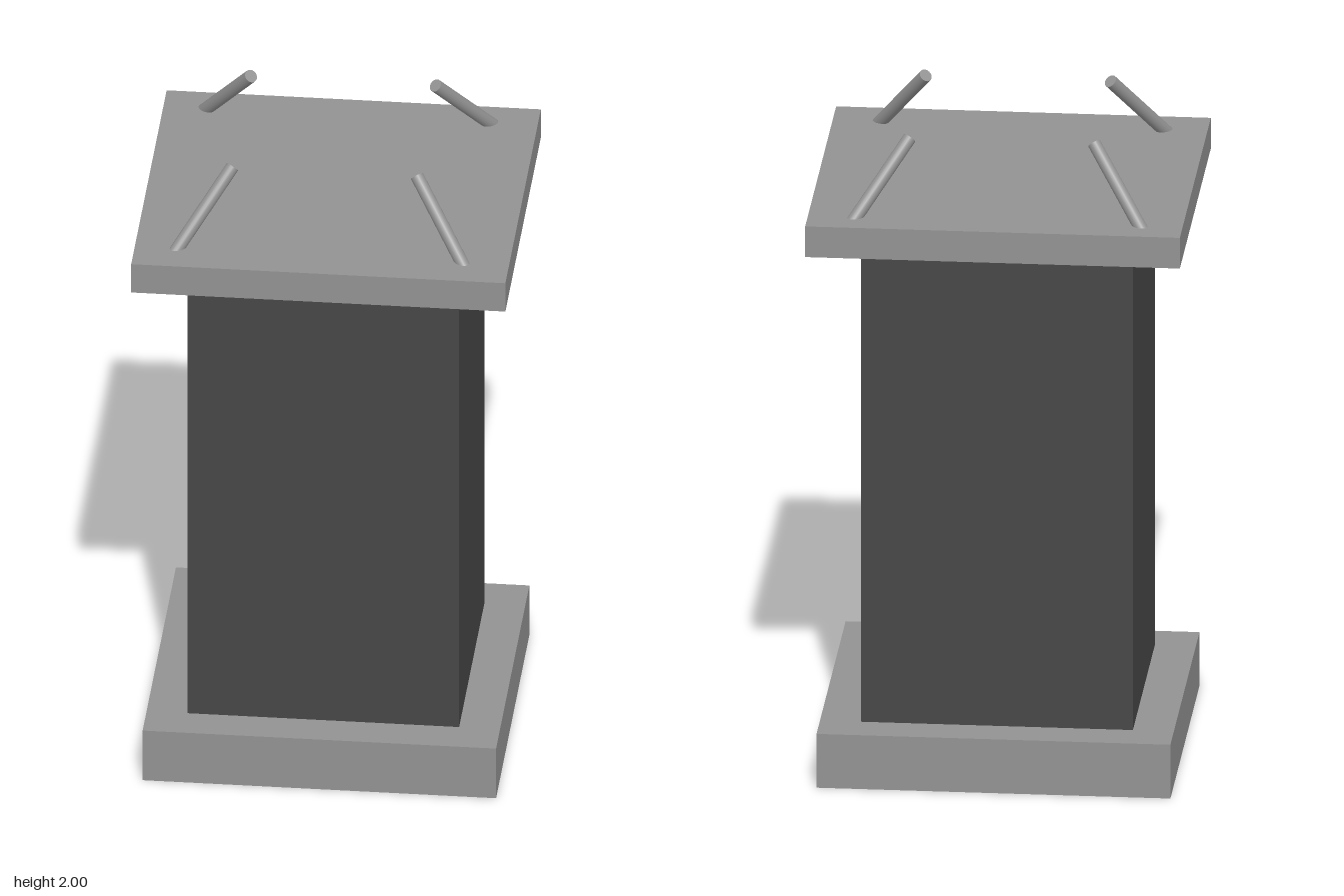
import * as THREE from 'three';

const lightGrey = new THREE.MeshStandardMaterial({ color: 0x929292 });
lightGrey.name = 'lightGrey';
const darkGrey = new THREE.MeshStandardMaterial({ color: 0x464646 });
darkGrey.name = 'darkGrey';

function rectangle(target, w, d) {
  target.moveTo(-w / 2, -d / 2);
  target.lineTo(w / 2, -d / 2);
  target.lineTo(w / 2, d / 2);
  target.lineTo(-w / 2, d / 2);
  target.closePath();
  return target;
}

// Upright rectangular tube from y0 to y1
function frame(name, w, d, holeW, holeD, y0, y1, material) {
  const shape = rectangle(new THREE.Shape(), w, d);
  shape.holes.push(rectangle(new THREE.Path(), holeW, holeD));
  const geometry = new THREE.ExtrudeGeometry(shape, { depth: y1 - y0, bevelEnabled: false });
  geometry.rotateX(-Math.PI / 2);
  geometry.translate(0, y0, 0);
  const mesh = new THREE.Mesh(geometry, material);
  mesh.name = name;
  return mesh;
}

// Cylinder between two points
function rod(name, a, b, radius, material) {
  const dir = b.clone().sub(a);
  const mesh = new THREE.Mesh(new THREE.CylinderGeometry(radius, radius, dir.length(), 20), material);
  mesh.position.copy(a).add(b).multiplyScalar(0.5);
  mesh.quaternion.setFromUnitVectors(new THREE.Vector3(0, 1, 0), dir.normalize());
  mesh.name = name;
  return mesh;
}

export function createModel() {
  const group = new THREE.Group();
  group.name = 'pedestal';

  // Plinth, recessed from below
  group.add(frame('plinth', 1.054, 0.972, 0.81, 0.74, 0, 0.17, lightGrey));
  group.add(frame('plinthFloor', 0.81, 0.74, 0.6, 0.555, 0.07, 0.078, lightGrey));

  // Hollow column
  group.add(frame('column', 0.81, 0.736, 0.599, 0.554, 0.072, 1.69, darkGrey));

  // Top slab
  const slab = new THREE.Mesh(new THREE.BoxGeometry(1.116, 0.097, 1.036), lightGrey);
  slab.position.y = 1.7365;
  slab.name = 'topSlab';
  group.add(slab);

  // Four pins leaning inward, slightly off centre
  for (const sx of [-1, 1]) {
    for (const sz of [-1, 1]) {
      const at = (r, y) => new THREE.Vector3(sx * r - 0.007, y, sz * r * 0.98 - 0.01);
      const name = (sz > 0 ? 'front' : 'back') + (sx > 0 ? 'Left' : 'Right') + 'Pin';
      group.add(rod(name, at(0.444, 1.755), at(0.275, 1.987), 0.02, lightGrey));
    }
  }
  return group;
}
